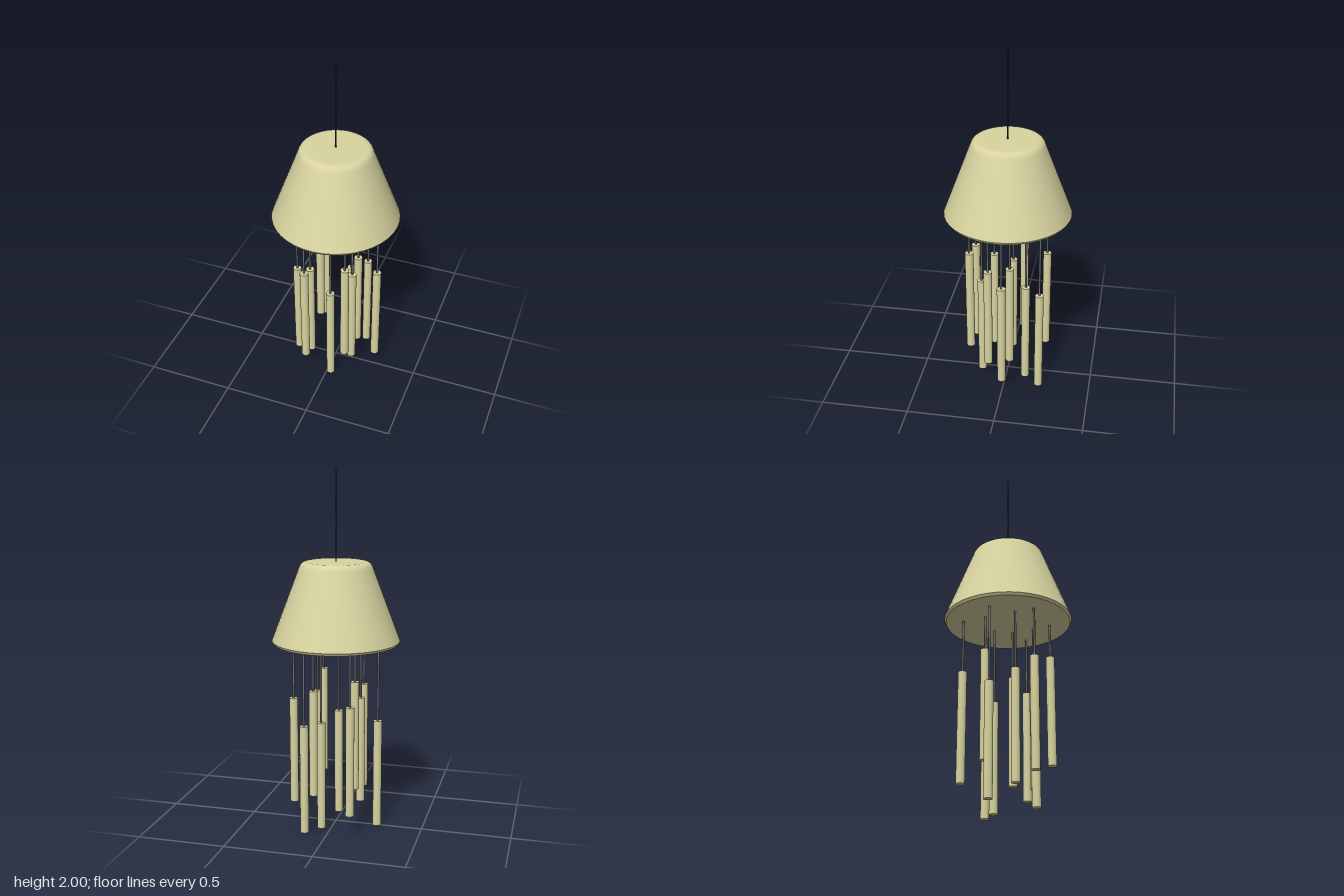
import * as THREE from 'three';

export function createModel() {
  const model = new THREE.Group();
  model.name = 'windChime';

  const cream = new THREE.MeshStandardMaterial({ color: 0xd9d4a0 });
  cream.name = 'cream';
  const wireGrey = new THREE.MeshStandardMaterial({ color: 0x727276 });
  wireGrey.name = 'wire grey';
  const cordDark = new THREE.MeshStandardMaterial({ color: 0x2c2c30 });
  cordDark.name = 'cord dark';

  const SEGMENTS = 40;
  const BASE_Y = 1.055;
  const TUBE_LENGTH = 0.62;

  const add = (parent, name, geometry, material, x, y, z) => {
    const mesh = new THREE.Mesh(geometry, material);
    mesh.name = name;
    mesh.position.set(x, y, z);
    parent.add(mesh);
    return mesh;
  };

  // Tapered shade with a rounded shoulder and a flat top
  const profile = [
    [0.355, 1.07], [0.3505, 1.082], [0.28, 1.268], [0.205, 1.466], [0.199, 1.482],
    [0.191, 1.494], [0.18, 1.502], [0.166, 1.505], [0.15, 1.505], [0, 1.505],
  ].map(([r, y]) => new THREE.Vector2(r, y));
  add(model, 'shade', new THREE.LatheGeometry(profile, SEGMENTS), cream, 0, 0, 0);

  // Bevelled lip closing the underside
  const lip = new THREE.LatheGeometry(
    [[0.346, BASE_Y], [0.355, 1.07]].map(([r, y]) => new THREE.Vector2(r, y)), SEGMENTS);
  add(model, 'shadeLip', lip, cream, 0, 0, 0);
  const underside = add(model, 'shadeUnderside', new THREE.CircleGeometry(0.346, SEGMENTS), cream, 0, BASE_Y, 0);
  underside.rotation.x = Math.PI / 2;

  // Hanging cord
  add(model, 'hangingCord', new THREE.CylinderGeometry(0.004, 0.004, 0.5, 8), cordDark, 0, 1.75, 0);

  // Chimes: x, z and height of the lower end
  const chimes = [
    [0.022, 0.15, 0], [-0.24, 0.005, 0], [0.056, -0.112, 0], [0.13, -0.2, 0],
    [0.248, -0.002, 0.1], [-0.12, 0.1, 0.1],
    [0.132, 0.094, 0.128], [-0.132, -0.21, 0.128],
    [-0.113, 0.208, 0.155], [0.125, -0.03, 0.155],
    [0.125, 0.198, 0.238], [-0.127, -0.077, 0.238],
  ];
  const tubeGeometry = new THREE.CylinderGeometry(0.024, 0.024, TUBE_LENGTH, 20);
  chimes.forEach(([x, z, bottom]) => {
    const chime = new THREE.Group();
    chime.name = 'chime';
    const top = bottom + TUBE_LENGTH;
    const length = BASE_Y - top;
    add(chime, 'chimeTube', tubeGeometry, cream, x, bottom + TUBE_LENGTH / 2, z);
    add(chime, 'chimeWire', new THREE.CylinderGeometry(0.006, 0.006, length, 10), wireGrey, x, top + length / 2, z);
    model.add(chime);
  });

  return model;
}
